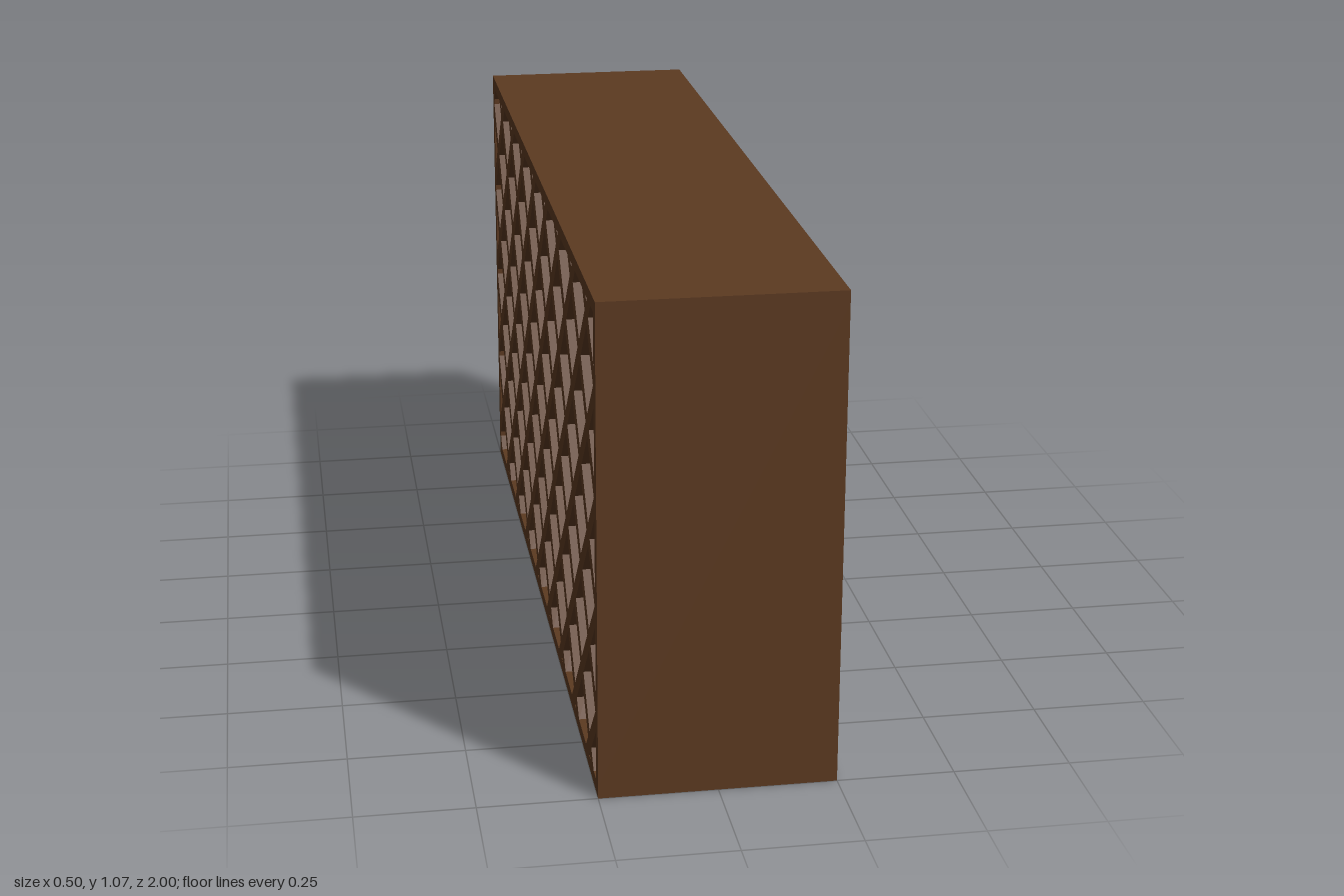
import * as THREE from 'three';

const W = 0.5, H = 1.065, L = 2;      // depth (x), height, length (z)
const FRAME = 0.028, SLAT = 0.035;    // board thicknesses
const PITCH = 0.2345;                 // spacing of crossings
const Z0 = 0.873, Y0 = 0.0635;        // one crossing of the lattice

export function createModel() {
  const wood = new THREE.MeshStandardMaterial({ color: 0x5c3a21 });
  wood.name = 'dark wood';
  const group = new THREE.Group();
  group.name = 'latticeRack';

  const board = (name, h, l, y, z, angle = 0) => {
    const mesh = new THREE.Mesh(new THREE.BoxGeometry(W, h, l), wood);
    mesh.name = name;
    mesh.position.set(0, y, z);
    mesh.rotation.x = angle;
    group.add(mesh);
  };

  // Outer frame
  board('bottomBoard', FRAME, L, FRAME / 2, 0);
  board('topBoard', FRAME, L, H - FRAME / 2, 0);
  for (const s of [1, -1]) {
    board(s > 0 ? 'frontBoard' : 'backBoard', H - 2 * FRAME, FRAME, H / 2, s * (L - FRAME) / 2);
  }

  // Diagonal slats in both directions, ending inside the frame boards
  const yMin = FRAME / 2, yMax = H - FRAME / 2, zMax = (L - FRAME) / 2;
  for (const dir of [1, -1]) {
    for (let k = -16; k <= 16; k++) {
      // line: z = c + dir * y
      const c = Z0 - dir * Y0 + k * PITCH;
      const ya = (-zMax - c) * dir, yb = (zMax - c) * dir;
      const lo = Math.max(yMin, Math.min(ya, yb));
      const hi = Math.min(yMax, Math.max(ya, yb));
      if (hi - lo < 0.03) continue;
      const y = (lo + hi) / 2;
      board(dir > 0 ? 'risingSlat' : 'fallingSlat', SLAT, (hi - lo) * Math.SQRT2, y, c + dir * y, -dir * Math.PI / 4);
    }
  }
  return group;
}
